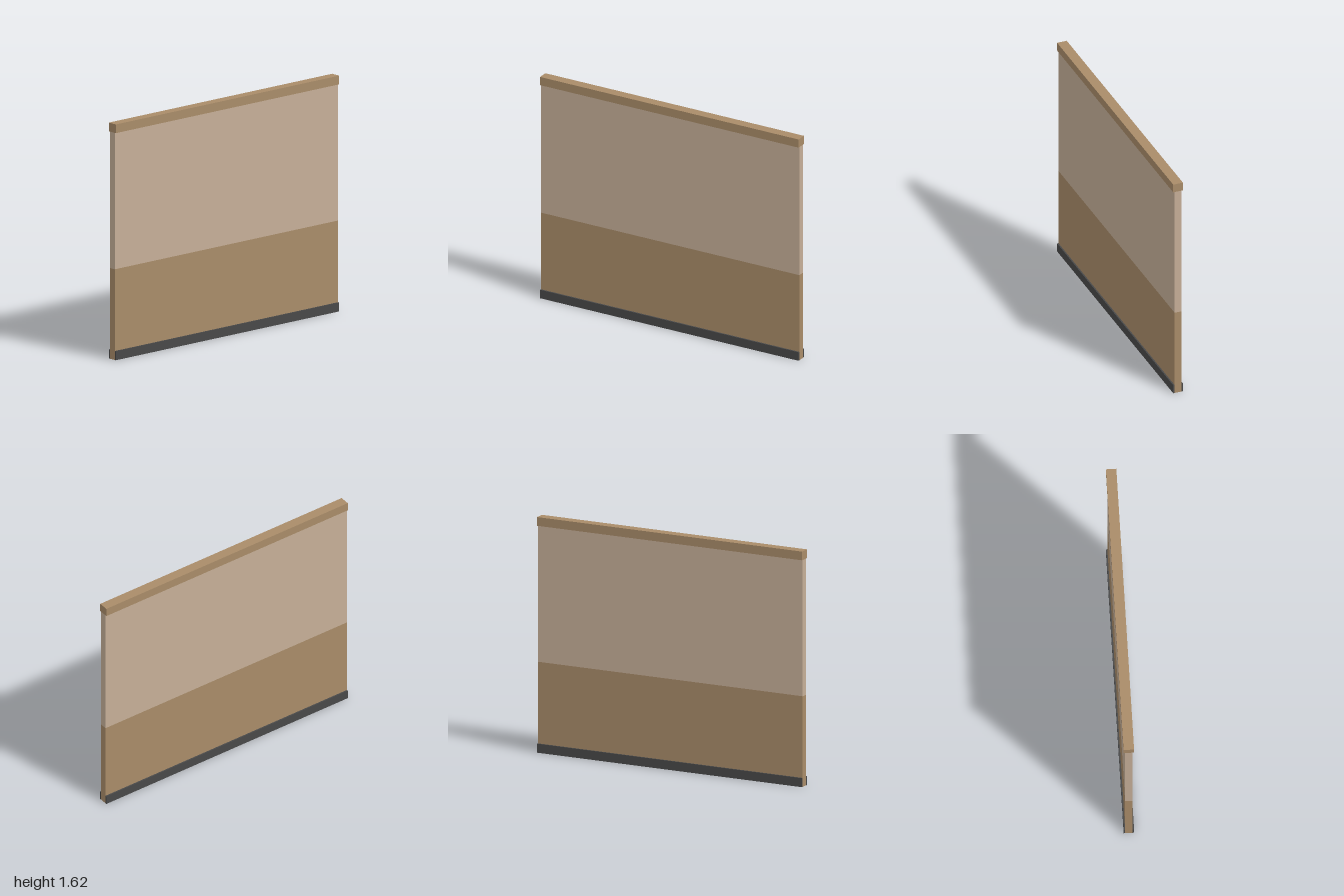
import * as THREE from 'three';

export function createModel() {
  const model = new THREE.Group();
  const paint = (name, color) => {
    const material = new THREE.MeshStandardMaterial({ color });
    material.name = name;
    return material;
  };
  const tan = paint('tan', 0xa98c69);
  const beige = paint('beige', 0xc6af98);
  const charcoal = paint('charcoal', 0x494949);

  // Full-length strip between two heights
  const strip = (name, width, bottom, top, material, x = 0) => {
    const mesh = new THREE.Mesh(new THREE.BoxGeometry(width, top - bottom, 2), material);
    mesh.name = name;
    mesh.position.set(x, (bottom + top) / 2, 0);
    model.add(mesh);
  };

  // Two-tone wall panel
  strip('lowerWall', 0.05, 0, 0.625, tan);
  strip('upperWall', 0.05, 0.625, 1.565, beige);

  // Overhanging cap rail
  strip('capRail', 0.07, 1.565, 1.625, tan);

  // Skirting board on each side
  for (const side of [-1, 1]) {
    strip(side > 0 ? 'leftSkirting' : 'rightSkirting', 0.01, 0, 0.062, charcoal, side * 0.03);
  }

  return model;
}
